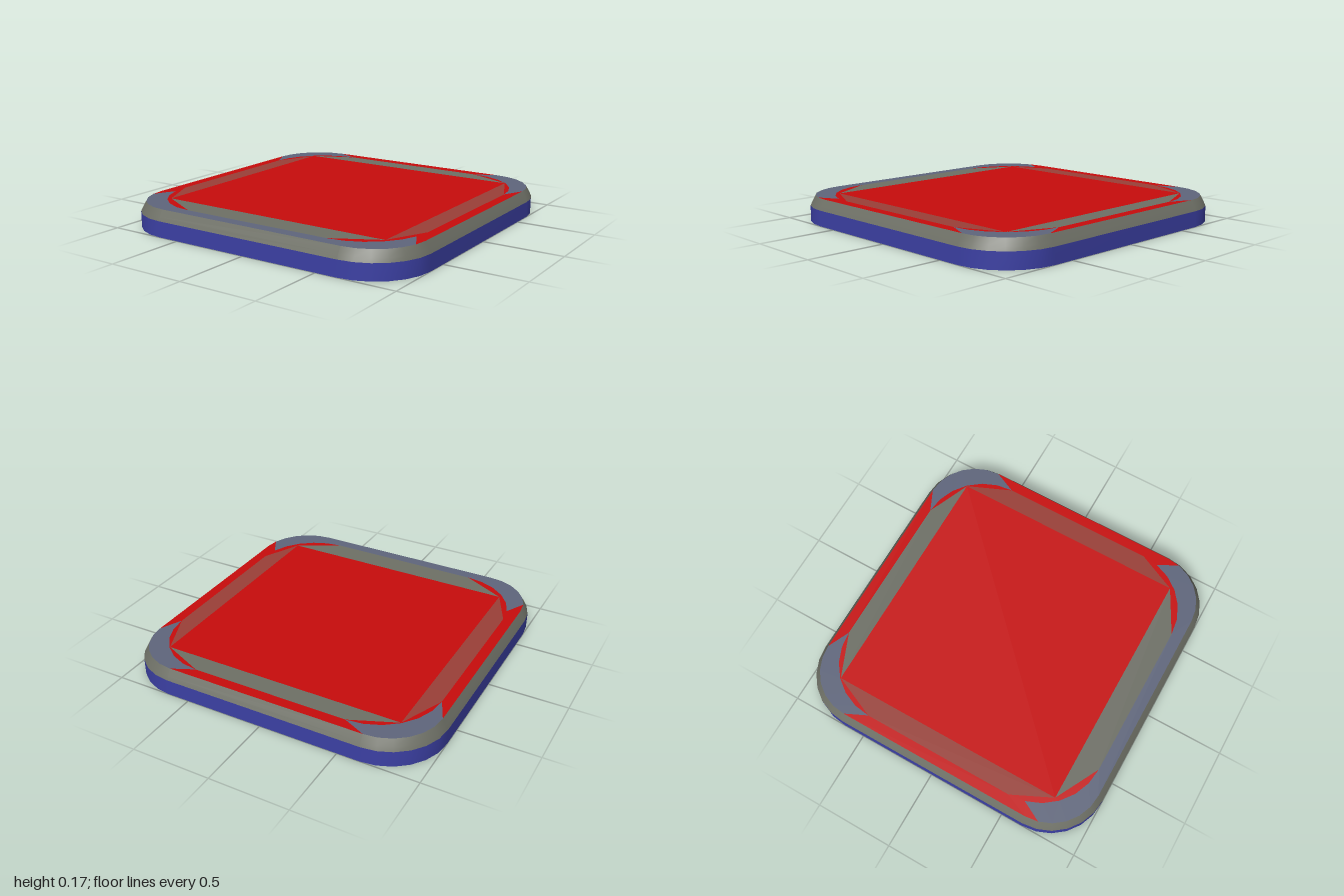
import * as THREE from 'three';

const SEG = 6; // segments per rounded corner
const TOP = 0.165;

// Rounded rectangle loop at height y: half width w, front z, back z, corner radius r
function outline(y, w, front, back, r) {
  const pts = [];
  const corners = [[w - r, front - r], [r - w, front - r], [r - w, back + r], [w - r, back + r]];
  corners.forEach(([cx, cz], q) => {
    for (let k = 0; k <= SEG; k++) {
      const a = (q + k / SEG) * Math.PI / 2;
      pts.push([cx + r * Math.cos(a), y, cz + r * Math.sin(a)]);
    }
  });
  return pts;
}

// Band lofted through the loops, keeping only the segments chosen by keep(corner, step)
function band(loops, keep = () => true) {
  const n = loops[0].length, index = [];
  for (let j = 0; j < loops.length - 1; j++) {
    for (let i = 0; i < n; i++) {
      if (!keep(Math.floor(i / (SEG + 1)), i % (SEG + 1))) continue;
      const a = j * n + i, b = j * n + (i + 1) % n;
      index.push(a, a + n, b, b, a + n, b + n);
    }
  }
  const geo = new THREE.BufferGeometry();
  geo.setAttribute('position', new THREE.Float32BufferAttribute(loops.flat(2), 3));
  geo.setIndex(index);
  geo.computeVertexNormals();
  return geo;
}

export function createModel() {
  const group = new THREE.Group();
  const paint = (color) => new THREE.MeshStandardMaterial({ color, side: THREE.DoubleSide });
  const red = paint(0xc80c0c), brown = paint(0x9a4038), blue = paint(0x3c40a4);
  const grey = paint(0x6e7066), slate = paint(0x5f667c);
  const add = (name, geo, mat) => {
    const mesh = new THREE.Mesh(geo, mat);
    mesh.name = name;
    group.add(mesh);
  };

  // Hollow body, open underneath
  const foot = outline(0, 1, 1, -1, 0.36);
  const shoulder = outline(0.1, 1, 1, -1, 0.36);
  const mid = outline(0.125, 0.988, 0.988, -0.988, 0.348);
  const rim = outline(TOP, 0.965, 0.965, -0.965, 0.325);
  add('sideWall', band([foot, shoulder]), blue);
  add('bevel', band([shoulder, mid, rim]), grey);

  // Flat top, divided into two frames around a centre panel
  const frame = outline(TOP, 0.9, 0.893, -0.9, 0.4);
  const panel = outline(TOP, 0.78, 0.745, -0.78, 0);
  const isEdge = (k) => k === SEG;
  const isSide = (q) => q % 2 === 1;
  const outerRed = (q, k) => (isEdge(k) && q !== 0) || (q === 0 && k === 0) || (q === 1 && k === SEG - 1);
  add('outerFrameEdges', band([rim, frame], outerRed), red);
  add('outerFrameCorners', band([rim, frame], (q, k) => !outerRed(q, k)), slate);
  add('innerFrameSides', band([frame, panel], (q, k) => isEdge(k) && isSide(q)), brown);
  add('innerFrameEnds', band([frame, panel], (q, k) => isEdge(k) && !isSide(q)), grey);
  add('innerFrameCorners', band([frame, panel], (q, k) => !isEdge(k)), red);

  const centre = new THREE.PlaneGeometry(1.56, 1.525);
  centre.rotateX(-Math.PI / 2).translate(0, TOP, -0.0175);
  add('centrePanel', centre, red);

  return group;
}
